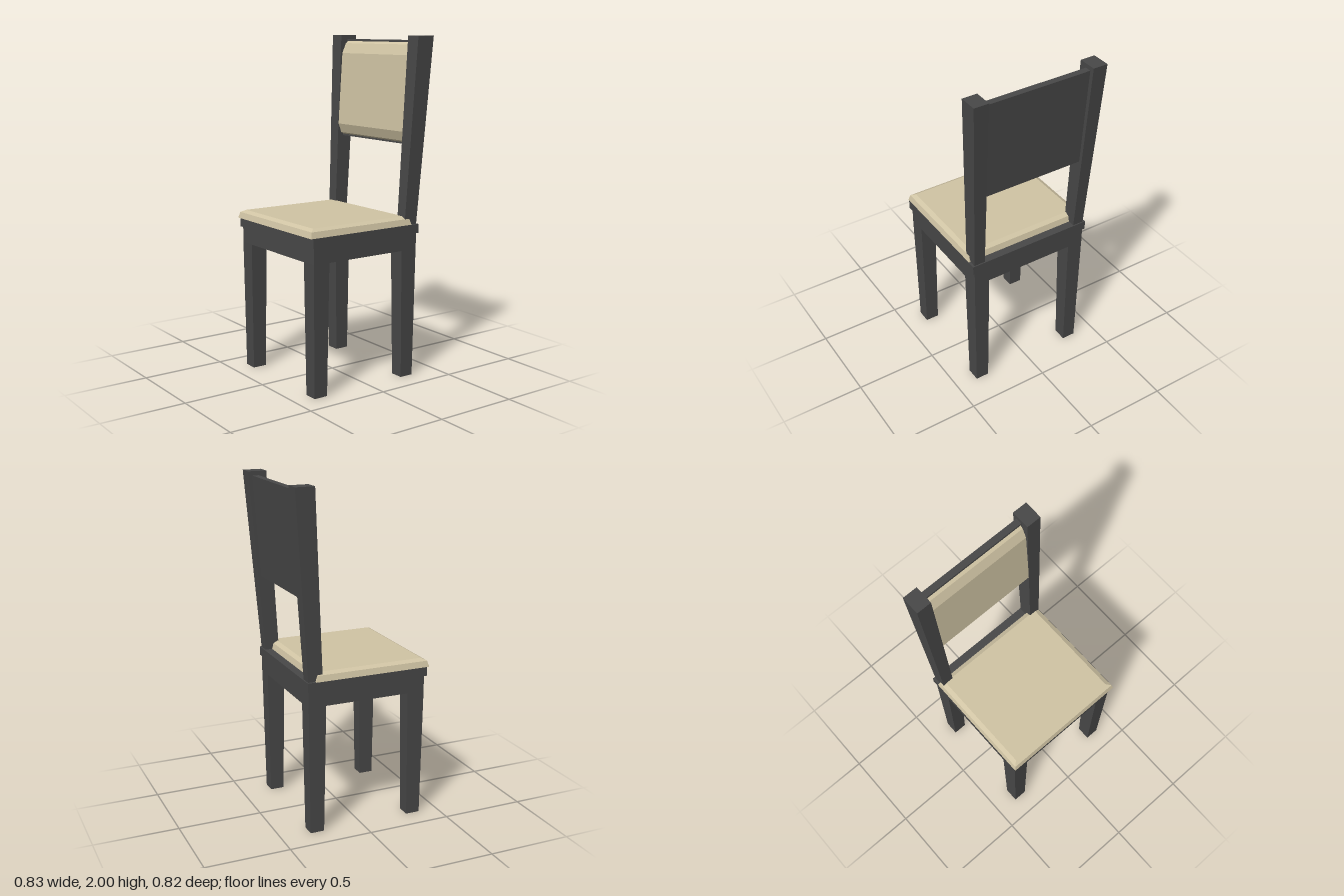
import * as THREE from 'three';

// Closed block through rectangular sections [y, x0, x1, z0, z1], bottom to top
function loft(sections) {
  const pos = [];
  const rings = sections.map(([y, x0, x1, z0, z1]) => [[x0, y, z1], [x1, y, z1], [x1, y, z0], [x0, y, z0]]);
  const quad = (a, b, c, d) => pos.push(...a, ...b, ...c, ...a, ...c, ...d);
  for (let i = 0; i < rings.length - 1; i++) {
    for (let j = 0; j < 4; j++) {
      const k = (j + 1) % 4;
      quad(rings[i][j], rings[i][k], rings[i + 1][k], rings[i + 1][j]);
    }
  }
  quad(...rings[rings.length - 1]);
  quad(...rings[0].slice().reverse());
  const g = new THREE.BufferGeometry();
  g.setAttribute('position', new THREE.Float32BufferAttribute(pos, 3));
  g.computeVertexNormals();
  return g;
}

// Side profile in x, y extruded across the chair, centred on z = 0
function crossPiece(points, width) {
  const shape = new THREE.Shape(points.map(([x, y]) => new THREE.Vector2(x, y)));
  return new THREE.ExtrudeGeometry(shape, { depth: width, bevelEnabled: false }).translate(0, 0, -width / 2);
}

export function createModel() {
  const chair = new THREE.Group();
  chair.name = 'chair';
  const frame = new THREE.MeshStandardMaterial({ color: 0x484848 });
  frame.name = 'dark frame';
  const fabric = new THREE.MeshStandardMaterial({ color: 0xd0c4a4 });
  fabric.name = 'beige upholstery';

  const add = (name, geometry, material) => {
    const mesh = new THREE.Mesh(geometry, material);
    mesh.name = name;
    chair.add(mesh);
  };

  // Tapered legs and leaning back posts; the back of the chair is toward +x
  for (const s of [1, -1]) {
    const side = s > 0 ? 'Left' : 'Right';
    const span = (a, b) => (s > 0 ? [a, b] : [-b, -a]);
    const foot = span(0.285, 0.367), hip = span(0.278, 0.375);
    add('frontLeg' + side, loft([[0, -0.383, -0.298, ...foot], [0.77, -0.391, -0.287, ...hip]]), frame);
    add('backLeg' + side, loft([[0, 0.238, 0.322, ...foot], [0.77, 0.226, 0.332, ...hip]]), frame);
    add('backPost' + side, loft([
      [0.92, 0.246, 0.333, ...span(0.307, 0.375)],
      [2, 0.3, 0.413, ...span(0.321, 0.411)],
    ]), frame);
  }

  // Hollow apron under the seat board
  const outline = (x0, x1, z) => [[x0, -z], [x1, -z], [x1, z], [x0, z]].map((p) => new THREE.Vector2(...p));
  const apron = new THREE.Shape(outline(-0.391, 0.333, 0.375));
  apron.holes.push(new THREE.Path(outline(-0.295, 0.235, 0.285)));
  add('apron', new THREE.ExtrudeGeometry(apron, { depth: 0.096, bevelEnabled: false })
    .rotateX(-Math.PI / 2).translate(0, 0.77, 0), frame);
  add('seatBoard', loft([[0.866, -0.402, 0.34, -0.388, 0.388], [0.92, -0.402, 0.34, -0.388, 0.388]]), frame);

  // Bevelled seat cushion
  const inset = (y, d) => [y, -0.415 + d, 0.29 - d, -0.392 + d, 0.386 - d];
  add('seatCushion', loft([inset(0.92, 0), inset(0.955, 0.01), inset(0.969, 0.036)]), fabric);

  // Leaning back panel with a bevelled pad on its front
  add('backPanel', crossPiece([[0.308, 1.38], [0.346, 1.38], [0.386, 1.975], [0.347, 1.975]], 0.645), frame);
  add('backPad', crossPiece([
    [0.309, 1.39], [0.346, 1.963], [0.33, 1.95], [0.303, 1.89], [0.274, 1.455], [0.294, 1.4],
  ].reverse(), 0.63), fabric);

  return chair;
}
